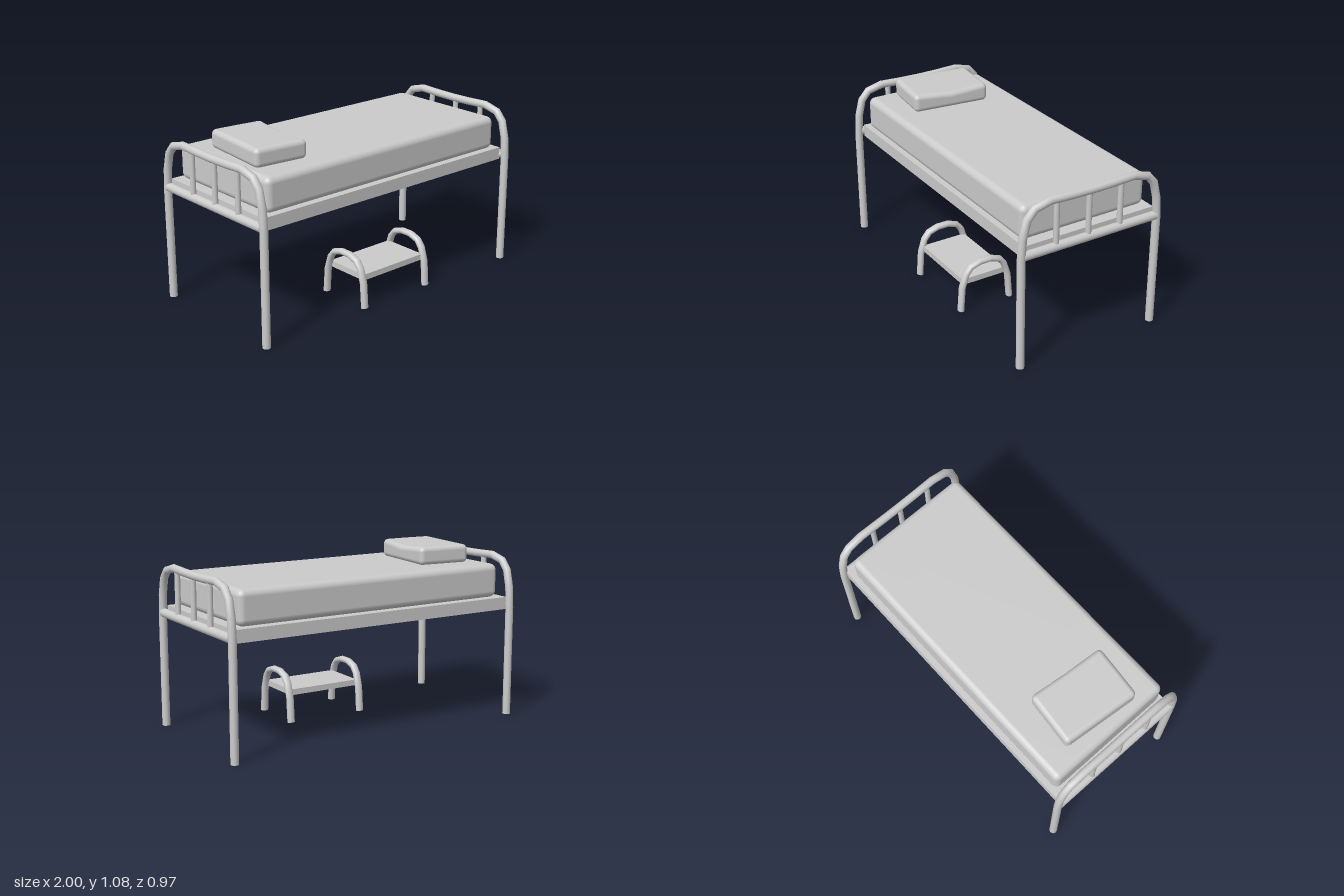
import * as THREE from 'three';

const grey = new THREE.MeshStandardMaterial({ color: 0xcccccc });
const pipeGrey = new THREE.MeshStandardMaterial({ color: 0xcccccc, side: THREE.DoubleSide });

// Polyline whose tube rings sit exactly on the given corners
class BentPipe extends THREE.Curve {
  constructor(points) {
    super();
    this.points = points;
  }
  index(u) {
    return Math.round(u * (this.points.length - 1));
  }
  getPoint(u, target = new THREE.Vector3()) {
    return target.copy(this.points[this.index(u)]);
  }
  getPointAt(u, target) {
    return this.getPoint(u, target);
  }
  getTangentAt(u, target = new THREE.Vector3()) {
    const i = this.index(u), p = this.points, last = p.length - 1;
    const before = p[i].clone().sub(p[Math.max(i - 1, 0)]).normalize();
    const after = p[Math.min(i + 1, last)].clone().sub(p[i]).normalize();
    return target.copy(before.add(after).normalize());
  }
}

function add(parent, name, geometry, x = 0, y = 0, z = 0, material = grey) {
  const mesh = new THREE.Mesh(geometry, material);
  mesh.name = name;
  mesh.position.set(x, y, z);
  parent.add(mesh);
  return mesh;
}

// Symmetric arch in the z-y plane from half of its [z, y] points
function archGeometry(half, radius) {
  const mirrored = half.filter(([z]) => z !== 0).reverse().map(([z, y]) => [-z, y]);
  const points = [...half, ...mirrored].map(([z, y]) => new THREE.Vector3(0, y, z));
  return new THREE.TubeGeometry(new BentPipe(points), points.length - 1, radius, 16);
}

// Box with rounded edges and enough inner vertices to be bent
function cushionGeometry(w, h, d, r) {
  const n = 12, corner = 3, inner = n / 2 - corner;
  const geometry = new THREE.BoxGeometry(1, 1, 1, n, n, n);
  const pos = geometry.attributes.position;
  const limit = new THREE.Vector3(w / 2 - r, h / 2 - r, d / 2 - r);
  const place = (t, lim) => {
    const s = Math.abs(t) * n;
    const v = s <= inner ? (s / inner) * lim
      : lim + r * Math.tan(((s - inner) / corner) * Math.PI / 4);
    return Math.sign(t) * v;
  };
  const p = new THREE.Vector3(), core = new THREE.Vector3(), low = limit.clone().negate();
  for (let i = 0; i < pos.count; i++) {
    p.fromBufferAttribute(pos, i);
    p.set(place(p.x, limit.x), place(p.y, limit.y), place(p.z, limit.z));
    core.copy(p).clamp(low, limit);
    p.sub(core).normalize();
    geometry.attributes.normal.setXYZ(i, p.x, p.y, p.z);
    p.multiplyScalar(r).add(core);
    pos.setXYZ(i, p.x, p.y, p.z);
  }
  return geometry;
}

export function createModel() {
  const model = new THREE.Group();

  // Bed ends: bent pipe, crossbar and three uprights
  const endArch = archGeometry([
    [0.46, 0], [0.46, 0.69], [0.452, 0.82], [0.425, 0.925],
    [0.378, 0.978], [0.28, 1.003], [0.13, 0.997], [0, 0.995],
  ], 0.0245);
  const crossbar = new THREE.CylinderGeometry(0.027, 0.027, 0.9, 16);
  crossbar.rotateX(Math.PI / 2);
  const upright = new THREE.CylinderGeometry(0.017, 0.017, 0.27, 16);
  for (const [name, x] of [['headEnd', -0.975], ['footEnd', 0.975]]) {
    const end = new THREE.Group();
    end.name = name;
    end.position.x = x;
    add(end, 'endArch', endArch, 0, 0, 0, pipeGrey);
    add(end, 'crossbar', crossbar, 0, 0.71, 0);
    for (const z of [-0.195, 0.02, 0.235]) add(end, 'upright', upright, 0, 0.86, z);
    model.add(end);
  }

  // Bed base and mattress
  add(model, 'bedBase', new THREE.BoxGeometry(1.91, 0.077, 0.88), 0, 0.7185, -0.008);
  add(model, 'mattress', cushionGeometry(1.82, 0.21, 0.835, 0.04), 0, 0.862, -0.002);

  // Pillow: slightly turned, with a sag along its inner edge
  const pillow = cushionGeometry(0.345, 0.115, 0.5, 0.03);
  const pos = pillow.attributes.position;
  for (let i = 0; i < pos.count; i++) {
    if (pos.getY(i) <= 0) continue;
    const sag = Math.max(0, pos.getX(i) / 0.1725) * (1 - Math.abs(pos.getZ(i)) / 0.25);
    pos.setY(i, pos.getY(i) - 0.019 * sag);
  }
  add(model, 'pillow', pillow, -0.656, 1.02, 0.013).rotation.y = -0.1;

  // Step stool under the front edge
  const stool = new THREE.Group();
  stool.name = 'stepStool';
  stool.position.set(0.038, 0, 0.27);
  const stoolArch = archGeometry([
    [0.172, 0], [0.16, 0.155], [0.133, 0.24], [0.1, 0.28], [0.037, 0.301],
  ], 0.0195);
  for (const x of [-0.255, 0.255]) {
    add(stool, 'stoolArch', stoolArch, x, 0, 0, pipeGrey).scale.x = 1.25;
  }
  add(stool, 'stoolBoard', new THREE.BoxGeometry(0.49, 0.037, 0.3), 0, 0.184, 0);
  model.add(stool);

  return model;
}
